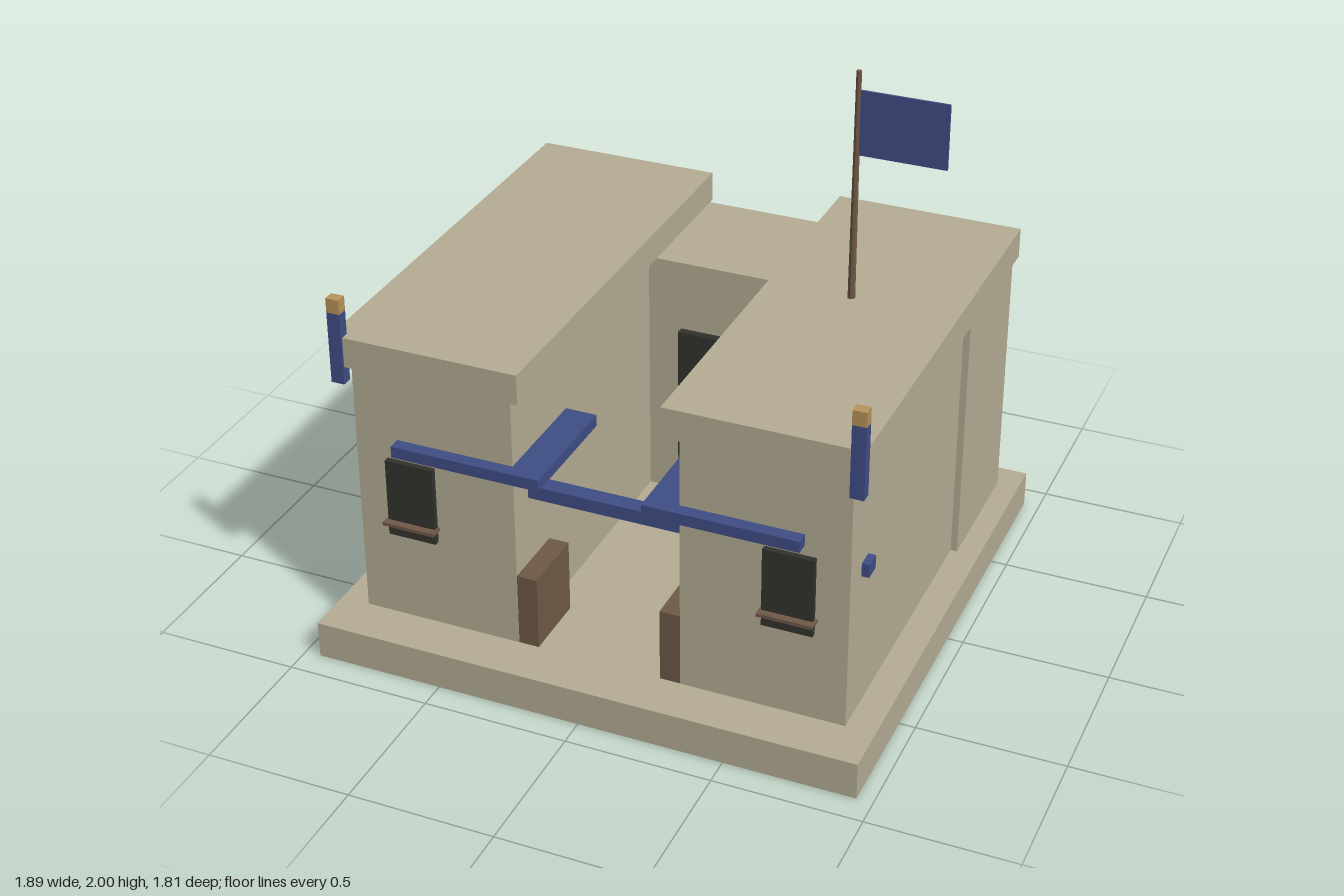
import * as THREE from 'three';

const mat = (color) => new THREE.MeshStandardMaterial({ color, flatShading: true });

export function createModel() {
  const model = new THREE.Group();
  model.name = 'courtyardHouse';
  const stone = mat(0xb5ac94), blue = mat(0x3f4d85), dark = mat(0x33322d);
  const wood = mat(0x6f5946), gold = mat(0xb8935a);

  // Box given by its extents on each axis
  const box = (name, material, [x0, x1], [y0, y1], [z0, z1], parent = model) => {
    const mesh = new THREE.Mesh(new THREE.BoxGeometry(x1 - x0, y1 - y0, z1 - z0), material);
    mesh.position.set((x0 + x1) / 2, (y0 + y1) / 2, (z0 + z1) / 2);
    mesh.name = name;
    parent.add(mesh);
    return mesh;
  };
  // Same box on both sides of x = 0
  const pair = (name, material, [x0, x1], y, z) => {
    box(name + 'Left', material, [x0, x1], y, z);
    box(name + 'Right', material, [-x1, -x0], y, z);
  };

  // Platform and walls around the open court
  box('platform', stone, [-0.945, 0.945], [0, 0.13], [-0.905, 0.905]);
  box('rearBlock', stone, [-0.868, 0.868], [0.13, 1.04], [-0.8, -0.325]);
  pair('wing', stone, [0.285, 0.845], [0.13, 1.04], [-0.325, 0.74]);
  pair('roofSlab', stone, [0.24, 0.892], [1.06, 1.165], [-0.785, 0.78]);

  // Door, windows and sills
  box('door', dark, [-0.165, 0.165], [0.13, 0.785], [-0.325, -0.297]);
  pair('window', dark, [0.565, 0.735], [0.45, 0.73], [0.73, 0.76]);
  pair('windowSill', wood, [0.557, 0.743], [0.495, 0.507], [0.74, 0.785]);

  // Awnings, cross beam and low benches set into the wings
  pair('awning', blue, [0.175, 0.695], [0.765, 0.805], [0.35, 0.785]);
  box('crossBeam', blue, [-0.87, 0.87], [0.63, 0.677], [0.58, 0.64]);
  pair('bench', wood, [0.215, 0.65], [0.13, 0.39], [0.5, 0.739]);

  // Corner posts with caps
  pair('cornerPost', blue, [0.847, 0.893], [1.0, 1.25], [0.75, 0.787]);
  pair('postCap', gold, [0.847, 0.893], [1.25, 1.3], [0.75, 0.787]);

  // Shallow domes in the gap below the roof slabs
  const domeGeometry = new THREE.SphereGeometry(0.067, 16, 6, 0, Math.PI * 2, 0, Math.PI / 2);
  for (const x of [-0.765, -0.625, 0.625, 0.765]) {
    const dome = new THREE.Mesh(domeGeometry, stone);
    dome.scale.y = 0.3;
    dome.position.set(x, 1.04, 0.61);
    dome.name = 'roofDome';
    model.add(dome);
  }

  // Flag on a tapered pole
  const flagGroup = new THREE.Group();
  flagGroup.name = 'flagAndPole';
  const pole = new THREE.Mesh(new THREE.CylinderGeometry(0.009, 0.013, 0.78, 8), wood);
  pole.position.set(0.563, 1.61, 0);
  pole.name = 'flagPole';
  flagGroup.add(pole);
  box('flag', blue, [0.572, 0.858], [1.72, 1.937], [-0.004, 0.004], flagGroup);
  model.add(flagGroup);

  return model;
}
